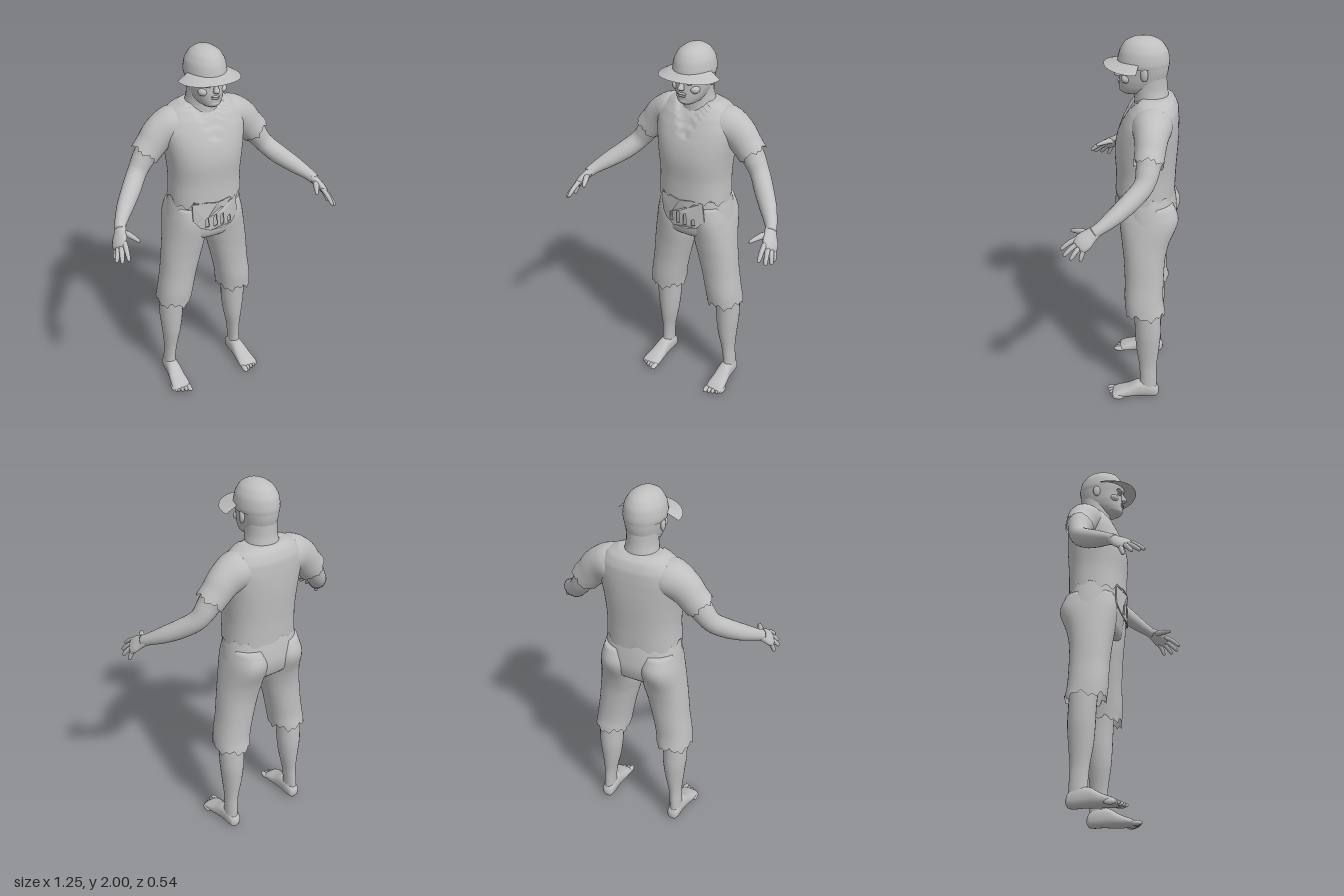
import * as THREE from 'three';

const V = (x, y, z) => new THREE.Vector3(x, y, z);
const DOWN = V(0, -1, 0);

// Smooth skin over cross-sections [x, y, z, radiusU, radiusV].
// axis fixes the ring direction; hem makes the last ring open and ragged.
function loft(sections, { sides = 24, steps = 4, power = 2, axis = null, ref = V(0, 0, 1), hem = 0, seed = 0 } = {}) {
  const path = new THREE.CatmullRomCurve3(sections.map(s => V(s[0], s[1], s[2])));
  const size = new THREE.CatmullRomCurve3(sections.map(s => V(s[3], s[4], 0)));
  const rows = (sections.length - 1) * steps;
  const pos = [], idx = [];
  for (let i = 0; i <= rows; i++) {
    const c = path.getPoint(i / rows), r = size.getPoint(i / rows);
    const t = axis ? axis.clone() : path.getTangent(i / rows);
    const v = ref.clone().addScaledVector(t, -ref.dot(t)).normalize();
    const u = v.clone().cross(t);
    for (let j = 0; j < sides; j++) {
      const a = j / sides * Math.PI * 2, ca = Math.cos(a), sa = Math.sin(a);
      const p = c.clone()
        .addScaledVector(u, r.x * Math.sign(ca) * Math.abs(ca) ** (2 / power))
        .addScaledVector(v, r.y * Math.sign(sa) * Math.abs(sa) ** (2 / power));
      if (hem && i === rows) p.addScaledVector(t, hem * (0.5 * Math.sin(5 * a + seed) + 0.5 * Math.sin(13 * a + 2 * seed)));
      pos.push(p.x, p.y, p.z);
    }
  }
  for (let i = 0; i < rows; i++) for (let j = 0; j < sides; j++) {
    const a = i * sides + j, b = i * sides + (j + 1) % sides;
    idx.push(a, b, a + sides, b, b + sides, a + sides);
  }
  // end caps
  for (const end of hem ? [0] : [0, 1]) {
    const c = path.getPoint(end), k = pos.length / 3, o = end * rows * sides;
    pos.push(c.x, c.y, c.z);
    for (let j = 0; j < sides; j++) {
      const a = o + j, b = o + (j + 1) % sides;
      idx.push(k, end ? a : b, end ? b : a);
    }
  }
  const g = new THREE.BufferGeometry();
  g.setAttribute('position', new THREE.Float32BufferAttribute(pos, 3));
  g.setIndex(idx);
  g.computeVertexNormals();
  return g;
}

// Horizontal sections written as [y, xMin, xMax, zBack, zFront]
const slices = (list, s = 1) => list.map(([y, x0, x1, z0, z1]) =>
  [s * (x0 + x1) / 2, y, (z0 + z1) / 2, (x1 - x0) / 2, (z1 - z0) / 2]);
const wide = list => slices(list.map(([y, w, z0, z1]) => [y, -w, w, z0, z1]));

export function createModel() {
  const root = new THREE.Group();
  const grey = new THREE.MeshStandardMaterial({ color: 0xbfbfbf, side: THREE.DoubleSide });
  grey.name = 'plainGrey';
  const add = (name, geo, parent = root) => {
    const m = new THREE.Mesh(geo, grey);
    m.name = name;
    parent.add(m);
    return m;
  };
  const ball = (name, x, y, z, rx, ry, rz, parent) => {
    const m = add(name, new THREE.SphereGeometry(1, 16, 12), parent);
    m.position.set(x, y, z);
    m.scale.set(rx, ry, rz);
    return m;
  };

  // Shirt body with a sunken V neck
  const shirt = loft(wide([
    [1.71, 0.11, -0.2, -0.05], [1.685, 0.165, -0.23, -0.03], [1.64, 0.205, -0.25, 0],
    [1.58, 0.222, -0.255, 0.028], [1.5, 0.212, -0.256, 0.055], [1.42, 0.2, -0.253, 0.066],
    [1.3, 0.19, -0.246, 0.06], [1.19, 0.194, -0.243, 0.062],
  ]), { sides: 64, steps: 6, power: 2.3, axis: DOWN, hem: 0.032, seed: 1 });
  const sp = shirt.attributes.position;
  for (let i = 0; i < sp.count; i++) {
    const y = sp.getY(i);
    if (sp.getZ(i) > -0.1 && Math.abs(sp.getX(i)) < (y - 1.55) * 0.62) sp.setZ(i, sp.getZ(i) - 0.014);
  }
  shirt.computeVertexNormals();
  add('shirtBody', shirt);

  // Torn shirt flap hanging over the waist, bent round the belly
  const flap = new THREE.Shape([[-0.13, 1.2], [-0.125, 1.1], [-0.09, 1.06], [-0.04, 1.04], [0.04, 1.04], [0.09, 1.05],
    [0.13, 1.09], [0.12, 1.2], [0.06, 1.21], [0, 1.2], [-0.06, 1.21]].map(p => new THREE.Vector2(...p)));
  for (const [x, h] of [[-0.055, 0.06], [-0.01, 0.075], [0.03, 0.07], [0.075, 0.045]]) {
    flap.holes.push(new THREE.Path([[x - 0.011, 1.06], [x - 0.009, 1.05 + h], [x + 0.004, 1.06 + h], [x + 0.011, 1.065]]
      .map(p => new THREE.Vector2(...p))));
  }
  const flapGeo = new THREE.ExtrudeGeometry(flap, { depth: 0.006, bevelEnabled: false });
  const fp = flapGeo.attributes.position;
  for (let i = 0; i < fp.count; i++) fp.setZ(i, fp.getZ(i) + 0.061 - 1.9 * fp.getX(i) ** 2);
  flapGeo.computeVertexNormals();
  add('shirtFlap', flapGeo);

  // Trouser seat
  add('trouserSeat', loft(wide([
    [1.25, 0.178, -0.23, 0.045], [1.15, 0.2, -0.25, 0.045], [1.07, 0.212, -0.257, 0.04],
    [1, 0.216, -0.24, 0.03], [0.965, 0.17, -0.2, 0.01], [0.95, 0.08, -0.15, -0.05],
  ]), { sides: 40, power: 2.2, axis: DOWN }));

  for (const s of [1, -1]) {
    const side = s > 0 ? 'left' : 'right';

    // Trouser leg
    add(side + 'TrouserLeg', loft(slices([
      [1.16, 0.03, 0.19, -0.24, 0.02], [1.07, 0.008, 0.213, -0.27, 0.035], [0.95, 0.008, 0.232, -0.228, 0.022],
      [0.85, 0.03, 0.245, -0.207, 0.01], [0.73, 0.06, 0.257, -0.202, 0.003], [0.62, 0.082, 0.273, -0.203, 0.002],
      [0.55, 0.092, 0.28, -0.214, -0.004],
    ], s), { sides: 40, power: 2.2, axis: DOWN, hem: 0.024, seed: 2 + s }));

    // Bare lower leg
    add(side + 'Leg', loft(slices([
      [0.7, 0.11, 0.25, -0.185, -0.03], [0.55, 0.125, 0.262, -0.19, -0.048], [0.42, 0.132, 0.26, -0.195, -0.055],
      [0.32, 0.145, 0.25, -0.188, -0.062], [0.2, 0.17, 0.24, -0.176, -0.08], [0.12, 0.178, 0.242, -0.178, -0.085],
      [0.05, 0.18, 0.245, -0.18, -0.08],
    ], s), { axis: DOWN }));

    // Foot and toes
    const foot = new THREE.Group();
    foot.name = side + 'Foot';
    root.add(foot);
    add('footBody', loft([
      [0.21, 0.038, -0.19, 0.012, 0.014], [0.21, 0.042, -0.178, 0.03, 0.036], [0.21, 0.052, -0.14, 0.037, 0.05],
      [0.212, 0.052, -0.08, 0.039, 0.05], [0.216, 0.035, -0.02, 0.046, 0.034], [0.219, 0.022, 0.04, 0.052, 0.021],
      [0.22, 0.016, 0.066, 0.045, 0.014],
    ].map(([x, ...r]) => [s * x, ...r]), { power: 2.4, axis: V(0, 0, 1), ref: V(0, 1, 0) }), foot);
    for (let i = 0; i < 5; i++) {
      ball('toe', s * (0.182 + i * 0.021), 0.015, 0.068 - i * i * 0.0022, i ? 0.0105 : 0.015, 0.014, i ? 0.03 : 0.035, foot);
    }

    // Sleeve with ragged cuff
    add(side + 'Sleeve', loft([
      [0.09, 1.6, -0.13, 0.07, 0.085], [0.155, 1.595, -0.13, 0.098, 0.1], [0.225, 1.562, -0.13, 0.09, 0.083],
      [0.275, 1.51, -0.128, 0.08, 0.075], [0.313, 1.468, -0.125, 0.077, 0.073],
    ].map(([x, ...r]) => [s * x, ...r]), { sides: 32, hem: 0.016, seed: 4 + s }));

    // Bare arm
    add(side + 'Arm', loft([
      [0.24, 1.545, -0.13, 0.06, 0.06], [0.31, 1.462, -0.125, 0.06, 0.06], [0.365, 1.385, -0.108, 0.05, 0.05],
      [0.42, 1.33, -0.055, 0.05, 0.048], [0.485, 1.28, 0.015, 0.043, 0.042], [0.54, 1.238, 0.085, 0.03, 0.03],
      [0.555, 1.222, 0.115, 0.027, 0.028],
    ].map(([x, ...r]) => [s * x, ...r])));

    // Hand: palm, four fingers and a thumb
    const hand = new THREE.Group();
    hand.name = side + 'Hand';
    root.add(hand);
    add('palm', loft([
      [0.545, 1.232, 0.095, 0.026, 0.028], [0.56, 1.212, 0.125, 0.022, 0.037], [0.577, 1.188, 0.155, 0.02, 0.046],
      [0.588, 1.168, 0.175, 0.016, 0.042], [0.592, 1.16, 0.183, 0.008, 0.03],
    ].map(([x, ...r]) => [s * x, ...r]), { ref: V(-0.45 * s, 0.45, 0.7).normalize(), sides: 16 }), hand);
    const digits = [
      [V(0.565, 1.19, 0.195), V(0.576, 1.135, 0.268)], [V(0.58, 1.175, 0.185), V(0.604, 1.117, 0.25)],
      [V(0.59, 1.165, 0.17), V(0.62, 1.108, 0.215)], [V(0.593, 1.16, 0.15), V(0.612, 1.1, 0.17)],
      [V(0.553, 1.215, 0.125), V(0.5, 1.2, 0.228)],
    ];
    digits.forEach(([a, b], i) => {
      const ring = (k, r) => {
        const p = a.clone().lerp(b, k);
        return [s * p.x, p.y + 0.006 * Math.sin(k * Math.PI), p.z, r, r];
      };
      add(i < 4 ? 'finger' : 'thumb', loft([ring(-0.15, 0.013), ring(0.35, i < 4 ? 0.0125 : 0.016),
        ring(0.8, 0.0105), ring(0.95, 0.008), ring(1, 0.002)], { sides: 10, steps: 2 }), hand);
    });

    // Ear, brow, eye and cheek
    ball(side + 'Ear', s * 0.094, 1.835, -0.085, 0.012, 0.034, 0.02).rotation.y = s * -0.3;
    ball(side + 'Brow', s * 0.037, 1.852, 0.033, 0.03, 0.009, 0.014);
    ball(side + 'Eye', s * 0.035, 1.833, 0.03, 0.015, 0.008, 0.012);
    ball(side + 'Cheek', s * 0.05, 1.8, 0.005, 0.026, 0.022, 0.026);
  }

  // Neck and head
  add('neck', loft(wide([
    [1.82, 0.078, -0.19, -0.03], [1.75, 0.078, -0.193, -0.025], [1.71, 0.084, -0.2, -0.03], [1.65, 0.1, -0.21, -0.03],
  ]), { axis: DOWN }));
  add('head', loft(wide([
    [1.92, 0.09, -0.19, 0.04], [1.87, 0.093, -0.198, 0.046], [1.83, 0.088, -0.196, 0.04], [1.79, 0.081, -0.185, 0.043],
    [1.755, 0.069, -0.16, 0.043], [1.73, 0.054, -0.13, 0.04], [1.716, 0.034, -0.09, 0.024],
  ]), { sides: 32, power: 2.2, axis: DOWN }));
  add('nose', loft([
    [0, 1.855, 0.038, 0.008, 0.01], [0, 1.83, 0.046, 0.01, 0.013], [0, 1.808, 0.052, 0.016, 0.019], [0, 1.798, 0.046, 0.012, 0.012],
  ], { axis: DOWN, sides: 14 }));
  ball('upperLip', 0, 1.778, 0.042, 0.024, 0.006, 0.01);
  ball('lowerLip', 0, 1.767, 0.041, 0.021, 0.006, 0.01);
  ball('chin', 0, 1.738, 0.026, 0.028, 0.017, 0.018);

  // Cap crown and band
  add('capCrown', loft(wide([
    [1.999, 0.012, -0.087, -0.063], [1.992, 0.042, -0.13, -0.02], [1.97, 0.073, -0.167, 0.018],
    [1.93, 0.096, -0.194, 0.042], [1.88, 0.103, -0.203, 0.053], [1.858, 0.1, -0.201, 0.051],
  ]), { sides: 32, axis: DOWN, hem: 0.003 }));

  // Drooping peak
  const brim = new THREE.PlaneGeometry(1, 1, 32, 4);
  const bp = brim.attributes.position;
  for (let i = 0; i < bp.count; i++) {
    const a = bp.getX(i) * Math.PI * 1.06, k = 0.5 - bp.getY(i);
    const sn = Math.sin(a), cs = Math.cos(a);
    bp.setXYZ(i, sn * (0.098 + 0.06 * k), 1.886 - k * (0.02 + 0.014 * sn * sn), -0.05 + 0.015 * k + cs * (0.09 + 0.065 * k));
  }
  brim.computeVertexNormals();
  add('capPeak', brim);

  return root;
}
